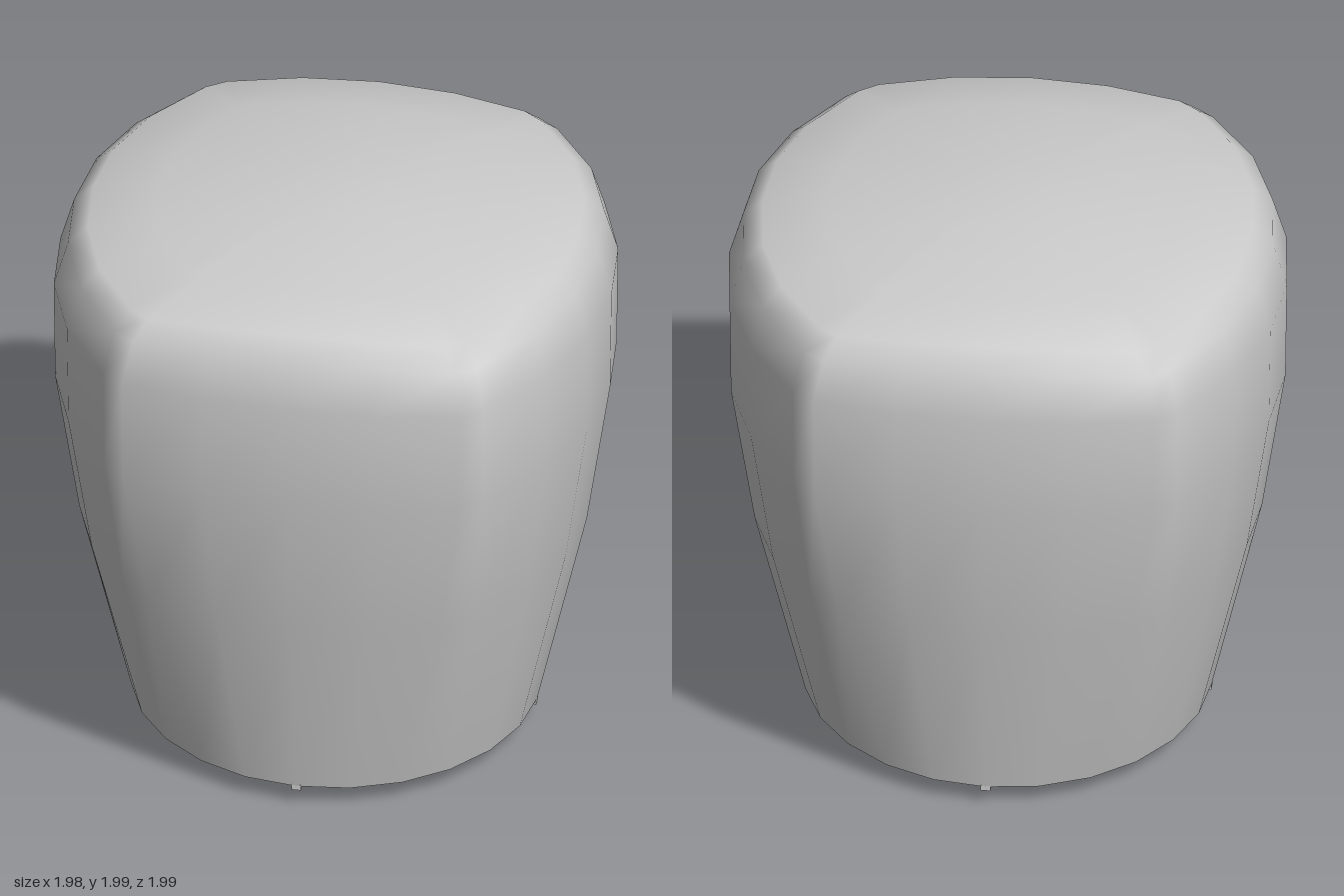
import * as THREE from 'three';

const material = new THREE.MeshStandardMaterial({ color: 0xcccccc, side: THREE.DoubleSide });

// Half of the widest outline (x, z); the other half is its 180 degree rotation
const half = [
  [0.99, -0.11], [0.975, -0.2], [0.81, -0.42], [0.615, -0.63], [0.4, -0.82], [0.17, -0.98],
  [0.085, -0.995], [-0.205, -0.93], [-0.445, -0.815], [-0.655, -0.64], [-0.825, -0.425], [-0.94, -0.175],
];
const outline = [...half, ...half.map(([x, z]) => [-x, -z])];
const N = outline.length;
const BOTTOM_RADIUS = 0.67;

// Sections: y, scale, blend from circle (0) to soft square (1), dome drop with radius squared
const sections = [
  { y: 0.08, scale: 1, blend: 0, drop: 0 },
  { y: 0.8, scale: 1, blend: 0.67, drop: 0 },
  { y: 1.32, scale: 0.995, blend: 1, drop: 0 },
  { y: 1.68, scale: 1, blend: 1, drop: 0 },
  { y: 1.948, scale: 0.95, blend: 1, drop: 0.145 },
  { y: 1.99, scale: 0.88, blend: 1, drop: 0.145 },
  { y: 1.99, scale: 0.64, blend: 1, drop: 0.145 },
  { y: 1.99, scale: 0.4, blend: 1, drop: 0.145 },
  { y: 1.99, scale: 0.18, blend: 1, drop: 0.145 },
];

function shadeGeometry() {
  const positions = [];
  const index = [];
  for (const { y, scale, blend, drop } of sections) {
    outline.forEach(([ox, oz], i) => {
      const a = (i / N) * Math.PI * 2;
      const x = scale * THREE.MathUtils.lerp(BOTTOM_RADIUS * Math.cos(a), ox, blend);
      const z = scale * THREE.MathUtils.lerp(-BOTTOM_RADIUS * Math.sin(a), oz, blend);
      positions.push(x, y - drop * (x * x + z * z), z);
    });
  }
  for (let k = 0; k < sections.length - 1; k++) {
    for (let i = 0; i < N; i++) {
      const j = (i + 1) % N;
      const a = k * N + i, b = k * N + j, c = a + N, d = b + N;
      index.push(a, b, d, a, d, c);
    }
  }
  // Close the crown
  const top = positions.length / 3;
  const last = (sections.length - 1) * N;
  positions.push(0, 1.99, 0);
  for (let i = 0; i < N; i++) index.push(last + i, last + ((i + 1) % N), top);

  const geometry = new THREE.BufferGeometry();
  geometry.setAttribute('position', new THREE.Float32BufferAttribute(positions, 3));
  geometry.setIndex(index);
  geometry.computeVertexNormals();
  return geometry;
}

function addMesh(parent, name, geometry) {
  const mesh = new THREE.Mesh(geometry, material);
  mesh.name = name;
  parent.add(mesh);
  return mesh;
}

// A U-shaped lamp tube with its bend at the bottom
function tubeGeometry(bottom, top, spread, radius) {
  const path = new THREE.CurvePath();
  const bend = [];
  const centre = bottom + radius + spread;
  for (let i = 0; i <= 8; i++) {
    const a = Math.PI + (i / 8) * Math.PI;
    bend.push(new THREE.Vector3(Math.cos(a) * spread, centre + Math.sin(a) * spread, 0));
  }
  path.add(new THREE.LineCurve3(new THREE.Vector3(-spread, top, 0), bend[0]));
  path.add(new THREE.CatmullRomCurve3(bend));
  path.add(new THREE.LineCurve3(bend[8], new THREE.Vector3(spread, top, 0)));
  return new THREE.TubeGeometry(path, 80, radius, 10, false);
}

export function createModel() {
  const model = new THREE.Group();
  model.name = 'lampshade';

  addMesh(model, 'shade', shadeGeometry());

  // Crossed support bars at the open bottom
  for (const side of [-1, 1]) {
    const bar = addMesh(model, 'supportBar', new THREE.BoxGeometry(BOTTOM_RADIUS * 2, 0.02, 0.032));
    bar.position.y = 0.075;
    bar.rotation.y = side * Math.PI / 4;
  }

  // Bulb with three bent tubes hanging below its base
  const bulb = new THREE.Group();
  bulb.name = 'bulb';
  model.add(bulb);
  for (let i = 0; i < 3; i++) {
    const a = -Math.PI / 2 + (i * Math.PI * 2) / 3;
    const tube = addMesh(bulb, 'bulbTube', tubeGeometry(i === 0 ? 0 : 0.015, 0.6, 0.045, 0.034));
    tube.position.set(Math.cos(a) * 0.095, 0, Math.sin(a) * 0.095);
    tube.rotation.y = Math.PI / 2 - a;
  }
  addMesh(bulb, 'bulbBase', new THREE.CylinderGeometry(0.1, 0.17, 0.25, 20)).position.y = 0.715;
  addMesh(bulb, 'bulbSocket', new THREE.CylinderGeometry(0.08, 0.08, 0.2, 20)).position.y = 0.93;

  return model;
}
